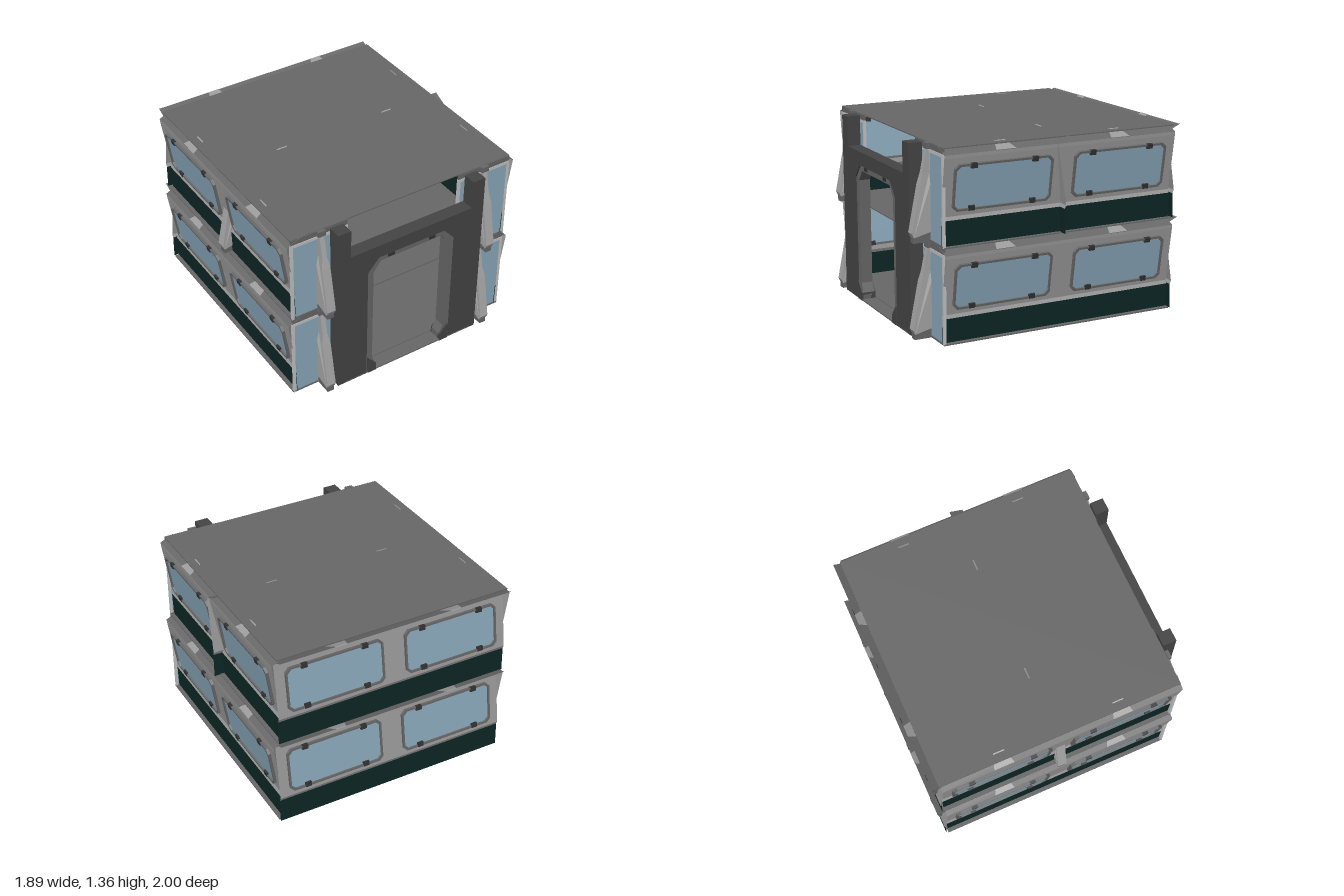
import * as THREE from 'three';

const mat = (name, color, side = THREE.FrontSide) => {
  const m = new THREE.MeshStandardMaterial({ color, side });
  m.name = name;
  return m;
};

export function createModel() {
  const wall = mat('wall grey', 0x9c9c9c, THREE.DoubleSide);
  const trim = mat('trim grey', 0x686868, THREE.DoubleSide);
  const green = mat('dark green', 0x0d2725, THREE.DoubleSide);
  const glass = mat('blue glass', 0x8caabd, THREE.DoubleSide);
  const dark = mat('charcoal', 0x454545);
  const black = mat('clip black', 0x333333);
  const pale = mat('pale frame', 0xc4c4c4);
  const fin = mat('fin grey', 0xa6a6a6);

  const model = new THREE.Group();
  const add = (parent, name, geo, m, x = 0, y = 0, z = 0) => {
    const mesh = new THREE.Mesh(geo, m);
    mesh.name = name;
    mesh.position.set(x, y, z);
    parent.add(mesh);
    return mesh;
  };
  const box = (parent, name, m, w, h, d, x, y, z) =>
    add(parent, name, new THREE.BoxGeometry(w, h, d), m, x, y, z);
  const group = (parent, name, x = 0, y = 0, z = 0, ry = 0) => {
    const g = new THREE.Group();
    g.name = name;
    g.position.set(x, y, z);
    g.rotation.y = ry;
    parent.add(g);
    return g;
  };
  const shapeOf = pts => new THREE.Shape(pts.map(p => new THREE.Vector2(...p)));
  const extrude = (shape, depth) =>
    new THREE.ExtrudeGeometry(shape, { depth, bevelEnabled: false }).translate(0, 0, -depth / 2);

  // Rectangle with cut corners, used for window rims
  const octagon = (w, h, c) => [
    [-w + c, -h], [w - c, -h], [w, -h + c], [w, h - c],
    [w - c, h], [-w + c, h], [-w, h - c], [-w, -h + c]];
  const rimShape = shapeOf(octagon(0.37, 0.165, 0.03));
  rimShape.holes.push(new THREE.Path(octagon(0.357, 0.15, 0.03).map(p => new THREE.Vector2(...p))));
  const rimGeo = extrude(rimShape, 0.04);
  const paneGeo = extrude(shapeOf(octagon(0.36, 0.155, 0.02)), 0.014);

  function addWindow(parent, x, y, z, tilt) {
    const g = group(parent, 'window', x, y, z);
    g.rotation.x = tilt;
    add(g, 'windowRim', rimGeo, trim);
    add(g, 'windowPane', paneGeo, glass);
    for (const sx of [-0.23, 0.23]) for (const sy of [-0.15, 0.15])
      box(g, 'windowClip', black, 0.045, 0.034, 0.046, sx, sy, 0);
  }

  // Leaning wall sheet: [z, y] profile, with one material for each band
  const profile = [[-0.045, 0], [-0.04, 0.18], [-0.05, 0.205], [0.013, 0.61], [0.015, 0.635], [-0.085, 0.68]];
  const bands = [green, wall, wall, wall, trim];
  const bandNames = ['wallBase', 'wallLedge', 'wallSheet', 'wallTopStrip', 'wallEave'];
  const tiltOf = (a, b) => Math.atan2(b[0] - a[0], b[1] - a[1]);

  function addWall(name, x, y, z, ry, windows = true) {
    const g = group(model, name, x, y, z, ry);
    bands.forEach((m, i) => {
      const a = profile[i], b = profile[i + 1];
      const h = Math.hypot(b[0] - a[0], b[1] - a[1]);
      const s = add(g, bandNames[i], new THREE.PlaneGeometry(1.8, h), m,
        0, (a[1] + b[1]) / 2, (a[0] + b[0]) / 2);
      s.rotation.x = tiltOf(a, b);
    });
    // Eave brackets
    const e0 = profile[4], e1 = profile[5];
    for (const sx of [-0.445, 0.445]) {
      const br = add(g, 'eaveBracket',
        extrude(shapeOf([[-0.075, -0.055], [0.075, -0.055], [0.04, 0.055], [-0.04, 0.055]]), 0.008),
        wall, sx, (e0[1] + e1[1]) / 2, (e0[0] + e1[0]) / 2);
      br.rotation.x = tiltOf(e0, e1);
    }
    if (windows) for (const sx of [-0.455, 0.455])
      addWindow(g, sx, 0.405, -0.019, tiltOf(profile[2], profile[3]));
  }

  // Tapered buttress fin, leaning back to its mounting plane at local z = 0
  const finPts = [[0, 0.07], [0.125, 0.04], [0.138, 0.07], [0.072, 0.4], [0.053, 0.48],
    [0.02, 0.64], [0, 0.64], [0, 0.48], [0, 0.4]];
  const finGeo = extrude(shapeOf(finPts), 0.066).rotateY(-Math.PI / 2);
  const fp = finGeo.attributes.position;
  for (let i = 0; i < fp.count; i++) if (fp.getY(i) > 0.45) fp.setX(i, fp.getX(i) * 0.55);
  finGeo.computeVertexNormals();

  function addFin(x, y, z, ry = 0) {
    const g = group(model, 'buttressFin', x, y, z, ry);
    add(g, 'finBody', finGeo, fin);
    box(g, 'finFoot', trim, 0.05, 0.07, 0.125, 0, 0.035, 0.0625);
    box(g, 'finCap', trim, 0.06, 0.04, 0.025, 0, 0.66, 0.0125);
  }

  // Floors and roof
  box(model, 'groundFloor', trim, 1.8, 0.01, 1.8, 0, 0.005, -0.045);
  box(model, 'upperFloor', trim, 1.8, 0.008, 1.8, 0, 0.68, -0.045);
  box(model, 'roof', trim, 1.8, 0.008, 1.8, 0, 1.356, -0.05);

  for (const y of [0, 0.68]) {
    addWall('leftWall', 0.915, y, -0.04, Math.PI / 2);
    addWall('rightWall', -0.915, y, -0.04, -Math.PI / 2);
    addWall('backWall', 0, y, -0.915, 0);

    // Glazed front wings beside the entrance
    for (const s of [-1, 1]) {
      const g = group(model, 'frontWing', s * 0.677, y, 0.85);
      box(g, 'wingGlass', glass, 0.42, 0.61, 0.008, 0, 0.315, 0);
      for (const sx of [-0.212, 0.212]) box(g, 'wingPost', pale, 0.018, 0.63, 0.02, sx, 0.315, 0);
      box(g, 'wingMullion', pale, 0.012, 0.61, 0.016, 0, 0.315, 0);
      box(g, 'wingHead', pale, 0.44, 0.022, 0.02, 0, 0.626, 0);
      box(g, 'wingSill', trim, 0.44, 0.012, 0.02, 0, 0.008, 0);
      box(g, 'wingEave', trim, 0.44, 0.042, 0.012, 0, 0.657, 0);
      addFin(s * 0.67, y, 0.858);
    }
  }

  // Upper storey partition and its side fins
  addWall('partition', 0.045, 0.68, 0, 0, false);
  addFin(-0.81, 0.68, -0.04, -Math.PI / 2);
  addFin(0.1, 0.68, 0.05, -Math.PI / 2);

  // Entrance frame: raised pillars and a cut-corner opening
  const half = [[0.3, 0], [0.6, 0], [0.6, 1.35], [0.5, 1.35], [0.5, 1.13]];
  const opening = [[0.36, 0], [0.36, 0.93], [0.27, 1.03]];
  const mirror = pts => pts.map(([x, y]) => [-x, y]).reverse();
  const slab = [...opening.slice(0, 1), ...half.slice(1), ...mirror(half.slice(1)),
    ...mirror(opening.slice(0, 1)), [-0.36, 0.93], [-0.27, 1.03], [0.27, 1.03], [0.36, 0.93]];
  add(model, 'entranceFrame', extrude(shapeOf(slab), 0.1), dark, 0, 0, 0.92);

  // Inner lining of the opening with splayed feet
  const outer = [[0.36, 0], [0.36, 0.93], [0.27, 1.03]];
  const inner = [[0.25, 0.99], [0.31, 0.91], [0.31, 0.13], [0.28, 0.06], [0.28, 0]];
  const lining = [...outer, ...mirror(outer), ...mirror(inner), ...inner];
  add(model, 'entranceLining', extrude(shapeOf(lining), 0.085), trim, 0, 0, 0.92);
  for (const s of [-1, 1]) {
    add(model, 'entranceFoot',
      extrude(shapeOf([[s * 0.28, 0], [s * 0.35, 0], [s * 0.35, 0.14], [s * 0.28, 0.06]]), 0.108),
      dark, 0, 0, 0.92);
    box(model, 'entranceClip', black, 0.05, 0.025, 0.1, s * 0.17, 1.015, 0.92);
  }
  box(model, 'threshold', trim, 1.1, 0.01, 0.11, 0, 0.005, 0.915);

  return model;
}
